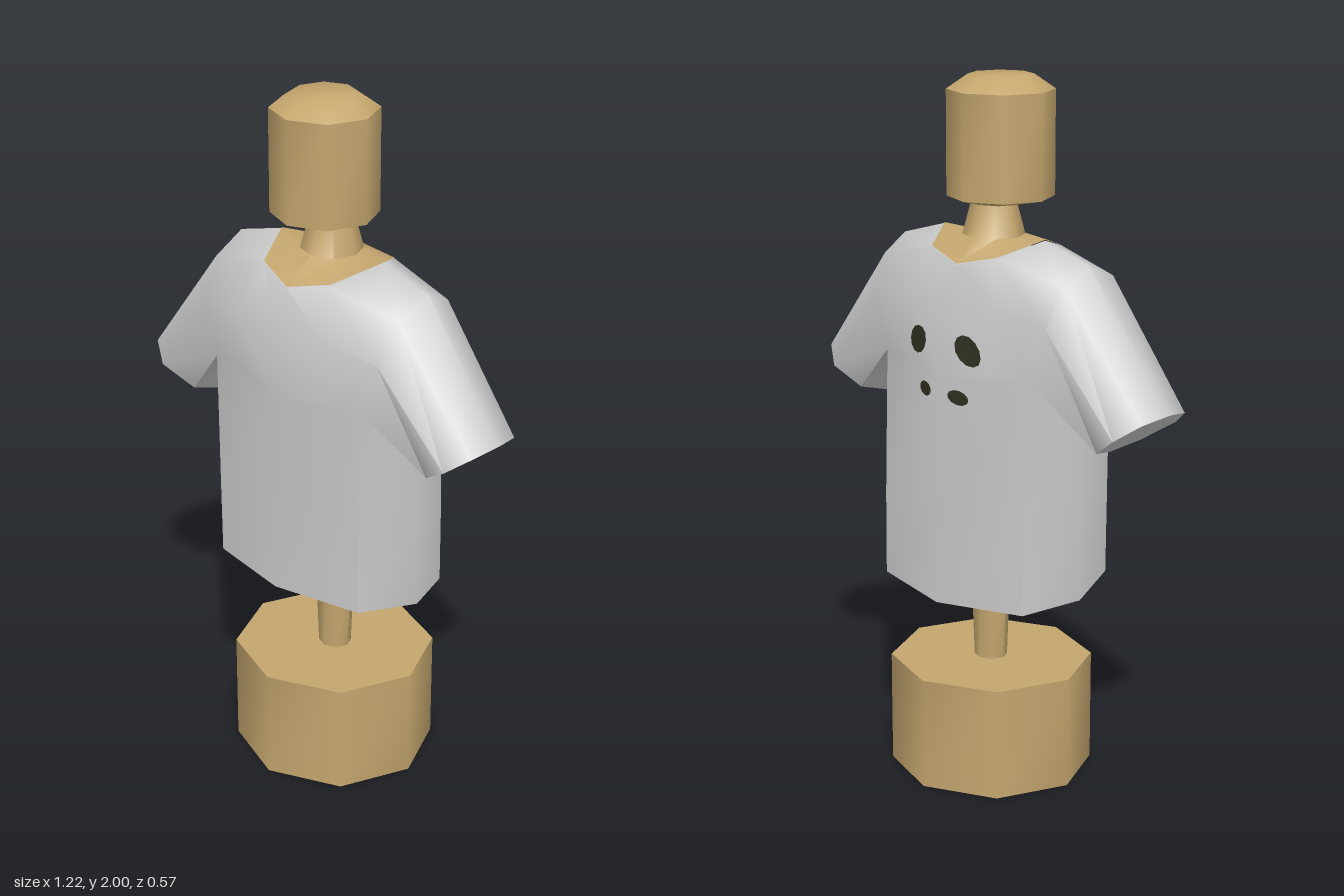
import * as THREE from 'three';
import { mergeGeometries, toCreasedNormals } from 'three/addons/utils/BufferGeometryUtils.js';

const CREASE = 0.9;

// Skin a list of equal-length rings of [x, y, z]; optional fan caps
function loft(rings, capStart = false, capEnd = false) {
  const pos = [];
  const tri = (...pts) => pts.forEach((p) => pos.push(...p));
  const n = rings[0].length;
  for (let i = 0; i < rings.length - 1; i++) {
    for (let j = 0; j < n; j++) {
      const k = (j + 1) % n;
      const a = rings[i][j], b = rings[i][k], c = rings[i + 1][k], d = rings[i + 1][j];
      tri(a, b, c);
      tri(a, c, d);
    }
  }
  const cap = (ring, flip) => {
    const mid = [0, 1, 2].map((c) => ring.reduce((s, p) => s + p[c], 0) / n);
    ring.forEach((p, j) => {
      const q = ring[(j + 1) % n];
      if (flip) tri(mid, q, p);
      else tri(mid, p, q);
    });
  };
  if (capStart) cap(rings[0], true);
  if (capEnd) cap(rings[rings.length - 1], false);
  const g = new THREE.BufferGeometry();
  g.setAttribute('position', new THREE.Float32BufferAttribute(pos, 3));
  return g;
}

// Eight-sided horizontal ring, starting at the front
function oct(y, rx, rz, cx = 0, cz = 0) {
  return Array.from({ length: 8 }, (_, i) => {
    const t = (i * Math.PI) / 4;
    return [cx + rx * Math.sin(t), y, cz + rz * Math.cos(t)];
  });
}

// Five points front to back on the +x side, completed by mirroring
function symmetricRing(half) {
  const other = half.slice(1, 4).reverse().map(([x, y, z]) => [-x, y, z]);
  return [...half, ...other];
}

export function createModel() {
  const group = new THREE.Group();
  const cloth = new THREE.MeshStandardMaterial({ color: 0xcccccc });
  const wood = new THREE.MeshStandardMaterial({ color: 0xc4a66e });
  const ink = new THREE.MeshStandardMaterial({ color: 0x2e2e20 });
  cloth.name = 'shirt grey';
  wood.name = 'tan wood';
  ink.name = 'dark print';

  const add = (name, geometry, material) => {
    const mesh = new THREE.Mesh(toCreasedNormals(geometry, CREASE), material);
    mesh.name = name;
    group.add(mesh);
    return mesh;
  };

  // Stand
  add('base', loft([oct(0.005, 0.295, 0.283, 0.01), oct(0.328, 0.295, 0.283, 0.01)], true, true), wood);
  add('pole', loft([oct(0.32, 0.048, 0.045, 0.012), oct(0.59, 0.066, 0.045, 0.012)]), wood);

  // Head and neck
  add('head', loft([
    oct(1.652, 0.07, 0.07, -0.005, 0.01),
    oct(1.67, 0.15, 0.147, -0.01, 0.017),
    oct(1.96, 0.15, 0.147, -0.01, 0.017),
    oct(2.0, 0.09, 0.09, -0.01, 0.017),
  ], true, true), wood);
  const neckline = symmetricRing([
    [0, 1.503, 0.178], [0.122, 1.532, 0.138], [0.188, 1.572, 0],
    [0.122, 1.532, -0.118], [0, 1.503, -0.148],
  ]);
  add('neck', loft([neckline, oct(1.565, 0.088, 0.085), oct(1.67, 0.058, 0.06)]), wood);

  // Shirt body, from hem to armpits
  const hem = symmetricRing([
    [0, 0.605, 0.235], [0.265, 0.602, 0.18], [0.325, 0.577, 0],
    [0.265, 0.562, -0.17], [0, 0.553, -0.235],
  ]);
  const waist = symmetricRing([
    [0, 0.8, 0.235], [0.265, 0.8, 0.182], [0.317, 0.8, 0],
    [0.265, 0.8, -0.168], [0, 0.8, -0.233],
  ]);
  const chest = symmetricRing([
    [0, 1.2, 0.233], [0.27, 1.22, 0.18], [0.295, 1.2, 0.01],
    [0.27, 1.22, -0.15], [0, 1.2, -0.213],
  ]);

  // Yoke and sleeves: sections run bottom, front, top, back
  const centre = [
    [0, 1.2, 0], [0, 1.2, 0.233], [0, 1.4, 0.22], [0, 1.5, 0.178],
    [0, 1.46, 0], [0, 1.5, -0.148], [0, 1.41, -0.178], [0, 1.2, -0.213],
  ];
  const collar = [
    [0.15, 1.2, 0.005], [0.135, 1.21, 0.2065], [0.16, 1.4, 0.208], [0.122, 1.53, 0.138],
    [0.188, 1.57, 0], [0.122, 1.53, -0.118], [0.16, 1.4, -0.168], [0.135, 1.21, -0.1815],
  ];
  const armhole = [
    [0.295, 1.2, 0.01], [0.27, 1.22, 0.18], [0.32, 1.37, 0.175], [0.335, 1.48, 0.11],
    [0.345, 1.525, 0], [0.335, 1.48, -0.09], [0.32, 1.37, -0.145], [0.27, 1.22, -0.15],
  ];
  const cuff = [
    [0.41, 1.04, 0.02], [0.44, 1.06, 0.11], [0.53, 1.12, 0.148], [0.59, 1.165, 0.11],
    [0.612, 1.18, 0.02], [0.59, 1.165, -0.07], [0.53, 1.12, -0.115], [0.45, 1.065, -0.085],
  ];
  const mirror = (ring, dy = 0) => ring.map(([x, y, z]) => [-x, y + dy, z]);
  const yoke = loft(
    [cuff, armhole, collar, centre, mirror(collar), mirror(armhole), mirror(cuff, -0.02)],
    true, true,
  );
  const shirt = add('shirt', mergeGeometries([loft([hem, waist, chest]), yoke]), cloth);

  // Underside of the torso, closing the hem
  add('torsoUnderside', loft([oct(0.577, 0.05, 0.04, 0.012), hem]), wood);

  // Printed spots laid onto the back: x, y, half width, half height, tilt
  shirt.updateMatrixWorld(true);
  const ray = new THREE.Raycaster();
  const towardFront = new THREE.Vector3(0, 0, 1);
  const spots = [
    [0.105, 1.285, 0.036, 0.04, -0.5],
    [-0.08, 1.28, 0.05, 0.034, -0.7],
    [0.065, 1.155, 0.026, 0.02, -0.2],
    [-0.06, 1.15, 0.033, 0.02, -0.2],
  ];
  spots.forEach(([x, y, rx, ry, tilt], i) => {
    const outline = new THREE.EllipseCurve(-x, y, rx, ry, 0, Math.PI * 2, false, tilt);
    const g = new THREE.ShapeGeometry(new THREE.Shape(outline.getPoints(12)));
    const p = g.attributes.position;
    for (let k = 0; k < p.count; k++) {
      const px = -p.getX(k), py = p.getY(k);
      ray.set(new THREE.Vector3(px, py, -1), towardFront);
      const hit = ray.intersectObject(shirt)[0];
      p.setXYZ(k, px, py, (hit ? hit.point.z : -0.2) - 0.006);
    }
    add('backSpot' + (i + 1), g, ink);
  });

  return group;
}
